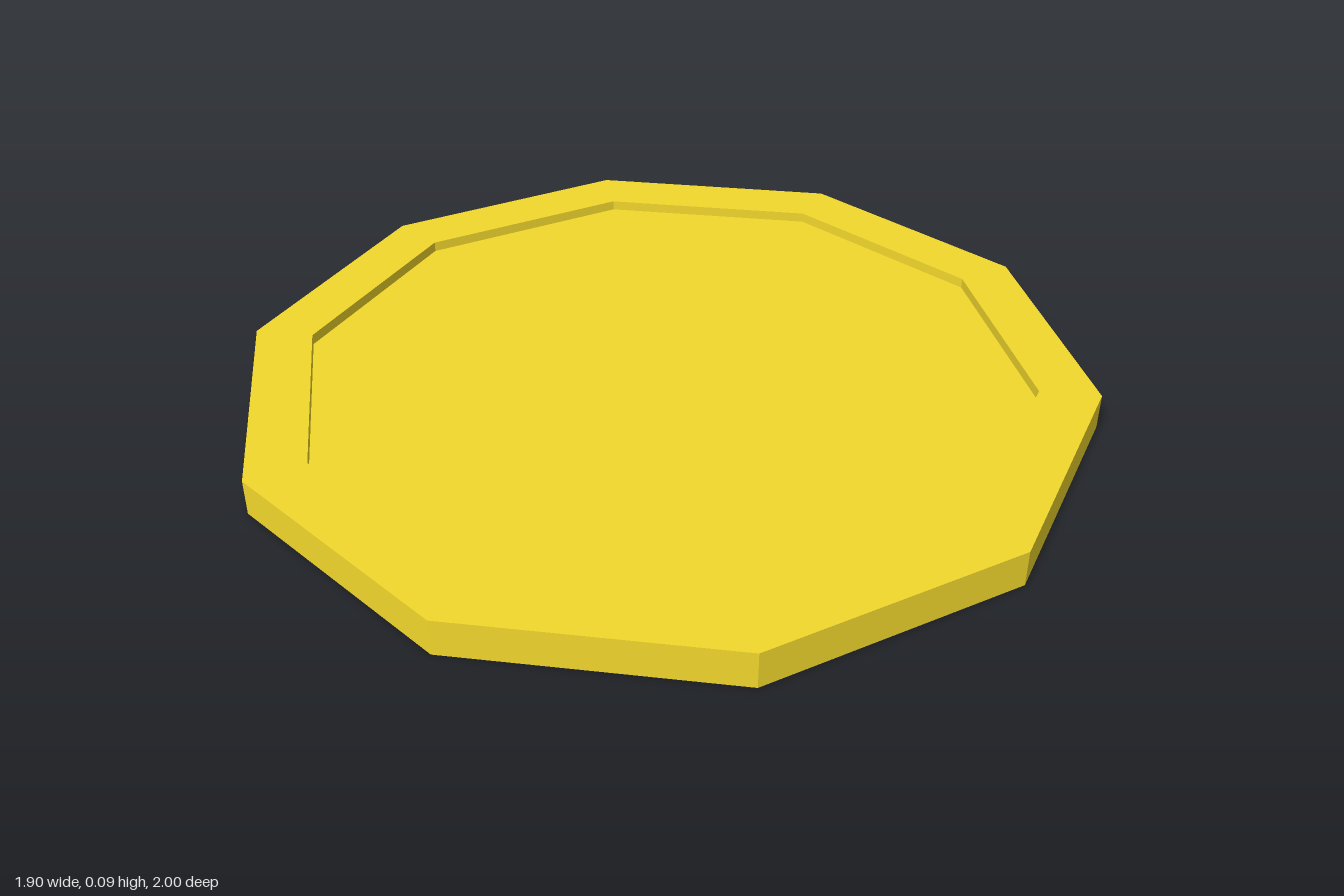
import * as THREE from 'three';

const SIDES = 10;
const OUTER = 1, INNER = 0.86, HEIGHT = 0.085;
const FACE_BOTTOM = 0.037, FACE_TOP = 0.06;

export function createModel() {
  const group = new THREE.Group();
  group.name = 'coin';
  const gold = new THREE.MeshStandardMaterial({ color: 0xf2d82c, flatShading: true });

  // Raised ten-sided rim, its section running from the lower recess round to the upper one
  const section = [
    [INNER, FACE_BOTTOM], [INNER, 0], [OUTER, 0],
    [OUTER, HEIGHT], [INNER, HEIGHT], [INNER, FACE_TOP],
  ].map(([r, y]) => new THREE.Vector2(r, y));
  const rim = new THREE.Mesh(new THREE.LatheGeometry(section, SIDES), gold);
  rim.name = 'rim';

  // Plate recessed within the rim on both sides
  const plate = new THREE.Mesh(
    new THREE.CylinderGeometry(INNER, INNER, FACE_TOP - FACE_BOTTOM, SIDES), gold);
  plate.name = 'recessedPlate';
  plate.position.y = (FACE_TOP + FACE_BOTTOM) / 2;

  group.add(rim, plate);
  return group;
}
